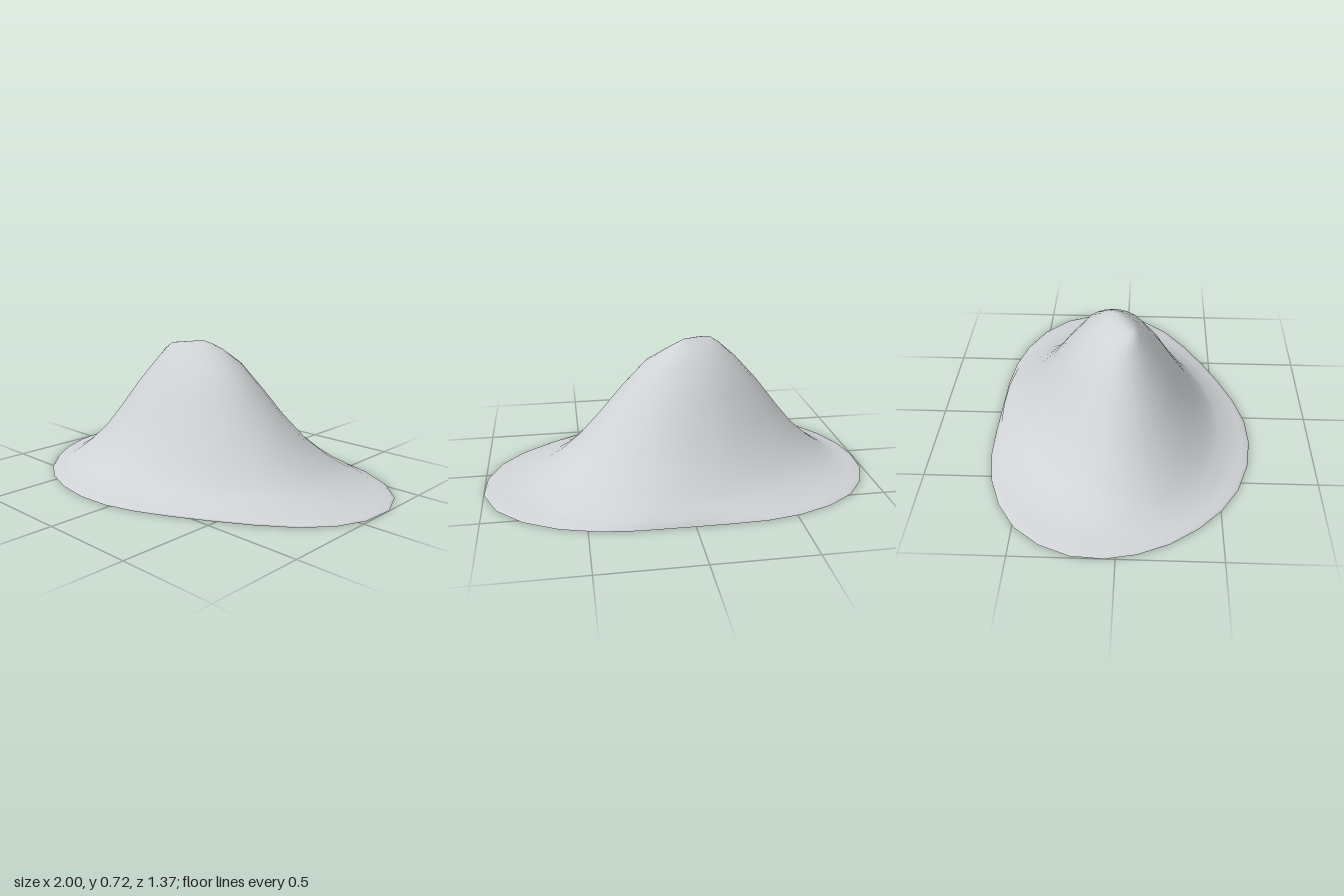
import * as THREE from 'three';

// Base outline (x, z), counter-clockwise seen from above
const OUTLINE = [
  [1, -0.22], [0.93, -0.39], [0.8, -0.52], [0.63, -0.61], [0.45, -0.66], [0.27, -0.68],
  [0.07, -0.683], [-0.17, -0.685], [-0.35, -0.68], [-0.52, -0.65], [-0.69, -0.585], [-0.83, -0.49],
  [-0.93, -0.36], [-0.99, -0.21], [-1, -0.05], [-0.97, 0.1], [-0.905, 0.25], [-0.81, 0.385],
  [-0.69, 0.505], [-0.55, 0.595], [-0.38, 0.655], [-0.2, 0.68], [-0.03, 0.67], [0.13, 0.625],
  [0.31, 0.545], [0.48, 0.455], [0.65, 0.355], [0.81, 0.24], [0.925, 0.11], [0.99, -0.04],
];
const DEPTH = 0.685;

// Contours: height, centre x, centre z, scale x, scale z, roundness, ridge skew, diagonal swell
const RINGS = [
  [0, 0, 0, 1, 1, 0, 0, 0],
  [0.01, 0, -0.002, 0.99, 0.99, 0.08, 0, 0],
  [0.016, -0.01, -0.015, 0.93, 0.965, 0.25, 0, 0],
  [0.032, -0.03, -0.035, 0.85, 0.925, 0.4, 0, 0.02],
  [0.065, -0.05, -0.05, 0.765, 0.835, 0.55, 0, 0.04],
  [0.11, -0.06, -0.055, 0.69, 0.75, 0.7, 0, 0.055],
  [0.2, -0.065, -0.05, 0.582, 0.63, 0.85, 0, 0.06],
  [0.33, -0.073, -0.043, 0.47, 0.497, 0.9, 0, 0.06],
  [0.47, -0.08, -0.04, 0.358, 0.378, 0.95, 0, 0.06],
  [0.6, -0.083, -0.035, 0.243, 0.247, 0.95, 0.06, 0.04],
  [0.67, -0.1, -0.02, 0.147, 0.145, 0.95, 0.28, 0],
  [0.697, -0.105, -0.01, 0.1, 0.08, 0.95, 0.45, 0],
];
const PEAK = [-0.05, 0.717, -0.037];

// One contour: the outline blended towards an ellipse, swelled on one diagonal, scaled and moved
function contour([y, cx, cz, sx, sz, round, skew, swell]) {
  return OUTLINE.flatMap(([x, z]) => {
    const angle = Math.atan2(z / DEPTH, x);
    const c = Math.cos(angle), s = Math.sin(angle);
    const k = 1 + swell * 2 * s * c * ((c + s) * Math.SQRT1_2 - 1);
    const px = k * sx * THREE.MathUtils.lerp(x, c, round);
    const pz = k * sz * THREE.MathUtils.lerp(z, DEPTH * s, round);
    return [cx + px, y, cz + pz - skew * px];
  });
}

function makeGeometry(points, index) {
  const geo = new THREE.BufferGeometry();
  geo.setAttribute('position', new THREE.Float32BufferAttribute(points, 3));
  geo.setIndex(index);
  geo.computeVertexNormals();
  return geo;
}

export function createModel() {
  const group = new THREE.Group();
  group.name = 'mound';
  const stone = new THREE.MeshStandardMaterial({ color: 0xd0d3d5 });
  stone.name = 'pale grey';
  const n = OUTLINE.length;

  // Smooth slope: stacked contours closed at the peak
  const points = [...RINGS.flatMap(contour), ...PEAK];
  const index = [];
  const top = RINGS.length * n;
  for (let r = 0; r < RINGS.length; r++) {
    for (let j = 0; j < n; j++) {
      const a = r * n + j, b = r * n + (j + 1) % n;
      if (r === RINGS.length - 1) index.push(a, b, top);
      else index.push(a, b, b + n, a, b + n, a + n);
    }
  }
  const slope = new THREE.Mesh(makeGeometry(points, index), stone);
  slope.name = 'slope';

  // Flat underside
  const baseIndex = [];
  for (let j = 0; j < n; j++) baseIndex.push(n, (j + 1) % n, j);
  const underside = new THREE.Mesh(makeGeometry([...contour(RINGS[0]), 0, 0, 0], baseIndex), stone);
  underside.name = 'underside';

  group.add(slope, underside);
  return group;
}
